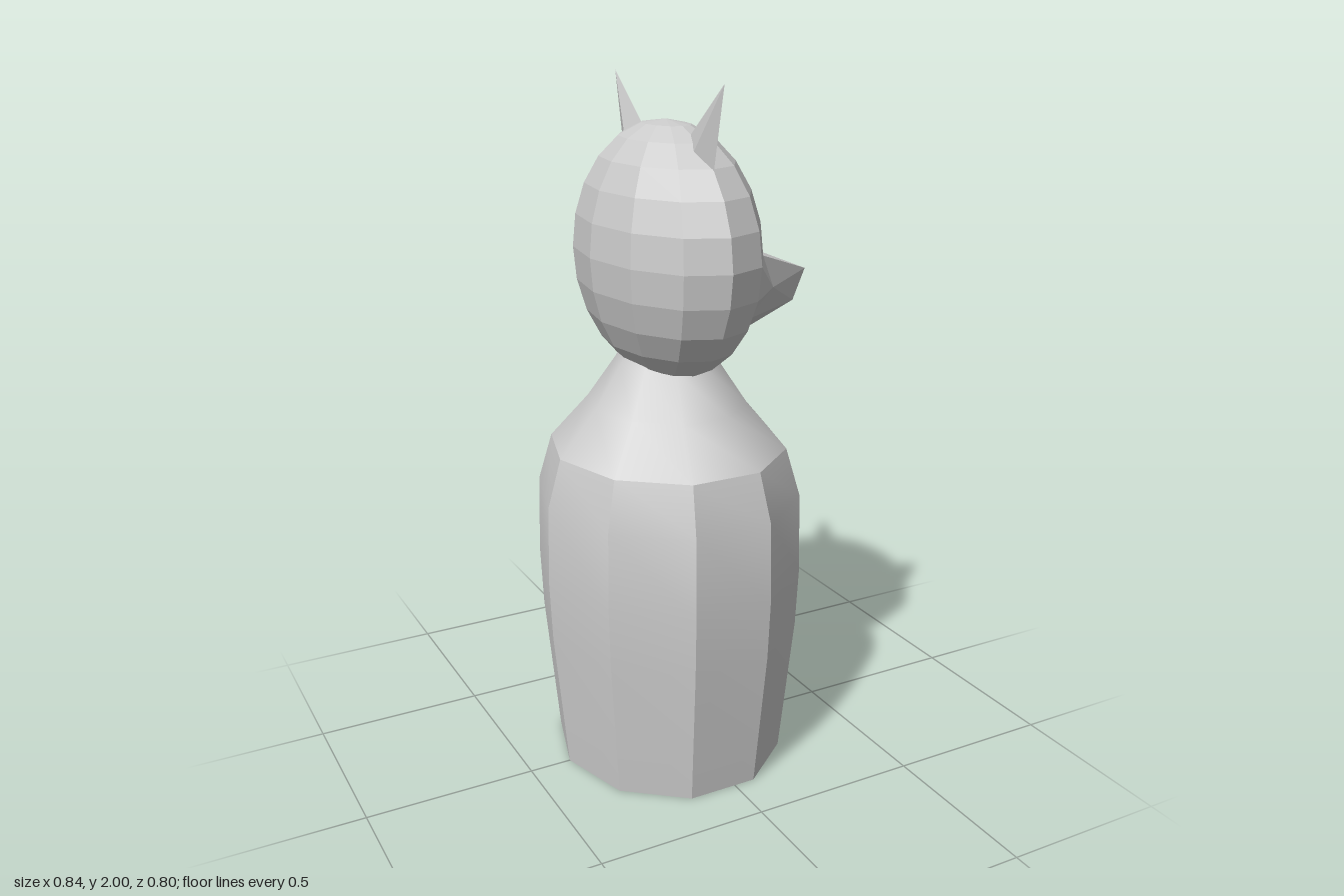
import * as THREE from 'three';
import { toCreasedNormals } from 'three/addons/utils/BufferGeometryUtils.js';
import { ConvexGeometry } from 'three/addons/geometries/ConvexGeometry.js';

const CX = -0.04; // axis shared by body and head

export function createModel() {
  const model = new THREE.Group();
  const smooth = new THREE.MeshStandardMaterial({ color: 0xcccccc });
  const flat = new THREE.MeshStandardMaterial({ color: 0xcccccc, flatShading: true });

  const add = (name, geometry, material) => {
    const mesh = new THREE.Mesh(geometry, material);
    mesh.name = name;
    model.add(mesh);
  };

  // Ten-sided oval lathe; profile radii are fractions of the widest section
  const oval = (profile) =>
    new THREE.LatheGeometry(profile.map(([r, y]) => new THREE.Vector2(r, y)), 10, Math.PI / 2)
      .scale(0.383, 1, 0.42)
      .translate(CX, 0, 0);

  // Torso: sharp between columns, smooth up each column
  const torso = oval([[0, 0], [0.875, 0], [0.98, 0.42], [1, 0.6], [0.985, 0.83], [0.88, 0.97]]);
  add('torso', toCreasedNormals(torso, 0.5), smooth);

  // Shoulders: smooth cone narrowing to the neck, ending inside the head
  add('shoulders', oval([[0.88, 0.97], [0.59, 1.1], [0.38, 1.22], [0.3, 1.28]]), smooth);

  // Head: faceted ellipsoid with a few points pulled out into the snout
  const head = new THREE.SphereGeometry(1, 12, 12).scale(0.233, 0.36, 0.37).translate(CX, 1.53, 0);
  const pos = head.attributes.position;
  const pull = (column, row, x, y, z) => pos.setXYZ(row * 13 + column, x, y, z);
  pull(6, 7, 0.42, 1.437, 0);     // snout tip
  pull(6, 8, 0.38, 1.345, 0);     // chin
  pull(6, 9, 0.12, 1.237, 0);     // throat
  pull(5, 7, 0.2, 1.437, 0.179);  // cheeks
  pull(7, 7, 0.2, 1.437, -0.179);
  const facetedHead = head.toNonIndexed();
  facetedHead.computeVertexNormals();
  add('head', facetedHead, flat);

  // Ears: slim four-sided spikes leaning outward
  for (const [side, name] of [[1, 'leftEar'], [-1, 'rightEar']]) {
    const points = [
      [CX, 2, 0.315],
      [CX, 1.78, 0.265],
      [CX, 1.86, 0.14],
      [CX - 0.026, 1.825, 0.205],
      [CX + 0.026, 1.825, 0.205],
    ].map(([x, y, z]) => new THREE.Vector3(x, y, z * side));
    add(name, new ConvexGeometry(points), flat);
  }

  return model;
}
